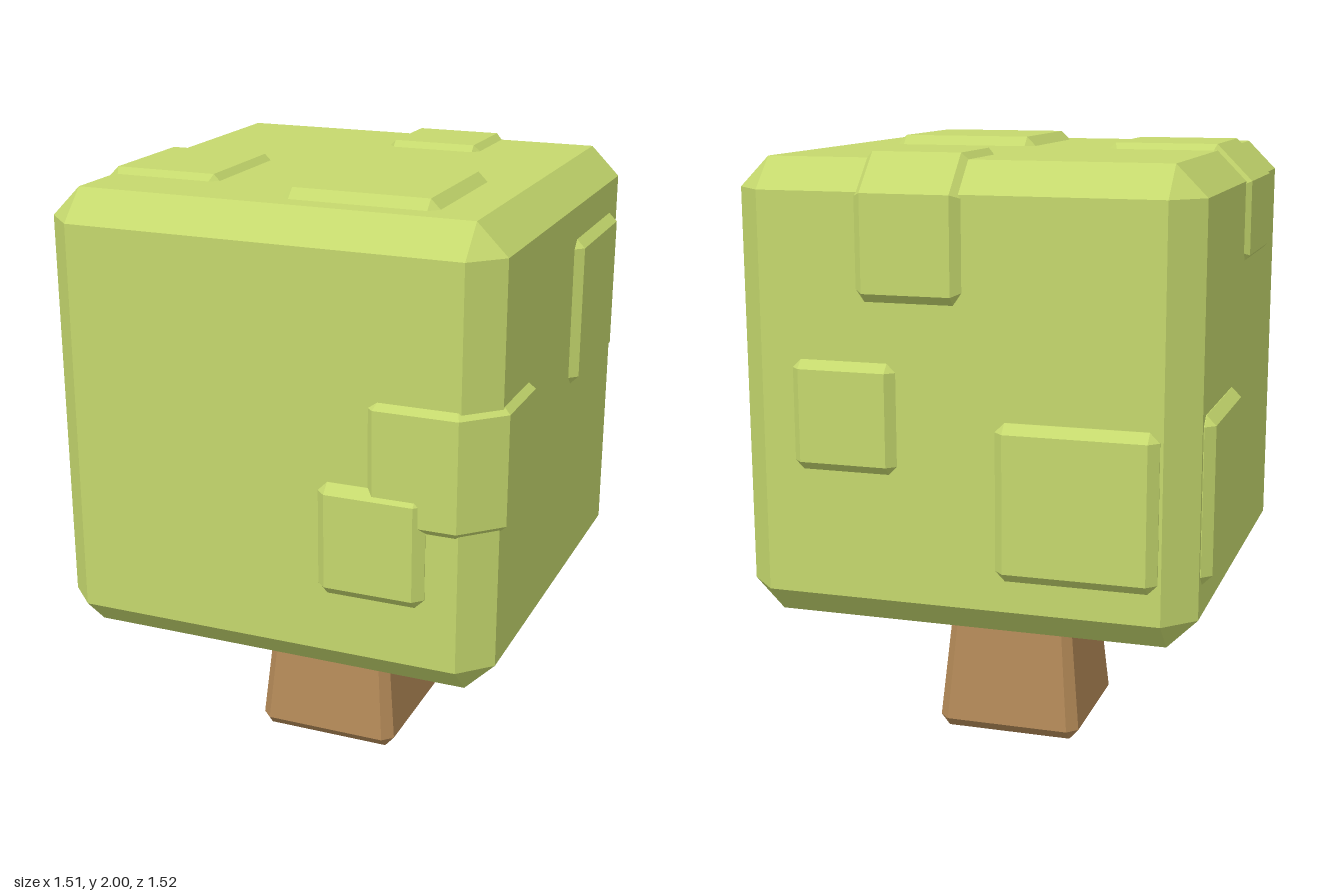
import * as THREE from 'three';
import { ConvexGeometry } from 'three/addons/geometries/ConvexGeometry.js';

const leaf = new THREE.MeshStandardMaterial({ color: 0xc5d86d });
leaf.name = 'leafGreen';
const bark = new THREE.MeshStandardMaterial({ color: 0xb48a58 });
bark.name = 'barkBrown';

// Box between two corners with every edge cut at 45 degrees
function chamferBox(min, max, c) {
  const points = [];
  for (let i = 0; i < 8; i++) {
    const side = [i & 1, (i >> 1) & 1, (i >> 2) & 1];
    for (let full = 0; full < 3; full++) {
      const p = side.map((s, a) => {
        const inset = a === full ? 0 : c;
        return s ? max[a] - inset : min[a] + inset;
      });
      points.push(new THREE.Vector3(...p));
    }
  }
  return new ConvexGeometry(points);
}

// Patch folded over a cut edge: corner profile (u, v) extruded along the edge
function foldedPatch(u0, u1, v0, v1, length) {
  const b = 0.028, c = 0.115;
  const shape = new THREE.Shape([
    [u0, v0], [u1 - b, v0], [u1, v0 + b], [u1, v1 - c],
    [u1 - c, v1], [u0 + b, v1], [u0, v1 - b],
  ].map(([u, v]) => new THREE.Vector2(u, v)));
  const geometry = new THREE.ExtrudeGeometry(shape, {
    depth: length - 2 * b, bevelEnabled: true, bevelSegments: 1,
    bevelSize: b, bevelThickness: b, bevelOffset: -b,
  });
  return geometry.translate(0, 0, b);
}

// Tapered trunk with cut corners and a cut bottom rim
function trunkGeometry() {
  const points = [];
  const rings = [[0, 0.215, 0.215], [0.035, 0.246, 0.212], [0.6, 0.191, 0.165]];
  for (const [y, a, b] of rings) {
    for (const sx of [-1, 1]) {
      for (const sz of [-1, 1]) {
        points.push(new THREE.Vector3(sx * a, y, sz * b));
        if (a !== b) points.push(new THREE.Vector3(sx * b, y, sz * a));
      }
    }
  }
  return new ConvexGeometry(points);
}

export function createModel() {
  const group = new THREE.Group();
  group.name = 'cubeTree';
  const add = (name, geometry, material) => {
    const mesh = new THREE.Mesh(geometry, material);
    mesh.name = name;
    group.add(mesh);
    return mesh;
  };

  add('trunk', trunkGeometry(), bark);
  add('crown', chamferBox([-0.725, 0.525, -0.725], [0.725, 1.97, 0.725], 0.095), leaf);

  // Flat leaf patches half sunk into the crown faces
  const patches = [
    ['frontPatch', [0.19, 0.815, 0.65], [0.53, 1.175, 0.757]],
    ['leftSidePatch', [0.65, 1.285, -0.56], [0.752, 1.77, -0.08]],
    ['topPatch', [0, 1.9, 0.07], [0.49, 2, 0.56]],
    ['rightSidePatch', [-0.757, 0.72, -0.615], [-0.65, 1.24, -0.125]],
    ['smallBackPatch', [0.19, 1.02, -0.752], [0.53, 1.37, -0.65]],
    ['largeBackPatch', [-0.62, 0.72, -0.758], [-0.12, 1.21, -0.65]],
  ];
  for (const [name, min, max] of patches) add(name, chamferBox(min, max, 0.03), leaf);

  // Patches folded over crown edges
  const front = add('frontEdgePatch', foldedPatch(0.34, 0.745, 0.345, 0.745, 0.4), leaf);
  front.rotation.x = Math.PI / 2;
  front.position.y = 1.45;

  const side = add('topSideEdgePatch', foldedPatch(0.265, 0.742, 1.61, 1.99, 0.425), leaf);
  side.rotation.y = Math.PI;
  side.position.z = 0.425;

  const back = add('topBackEdgePatch', foldedPatch(0.35, 0.752, 1.55, 1.99, 0.335), leaf);
  back.rotation.y = Math.PI / 2;
  back.position.x = -0.02;

  return group;
}
